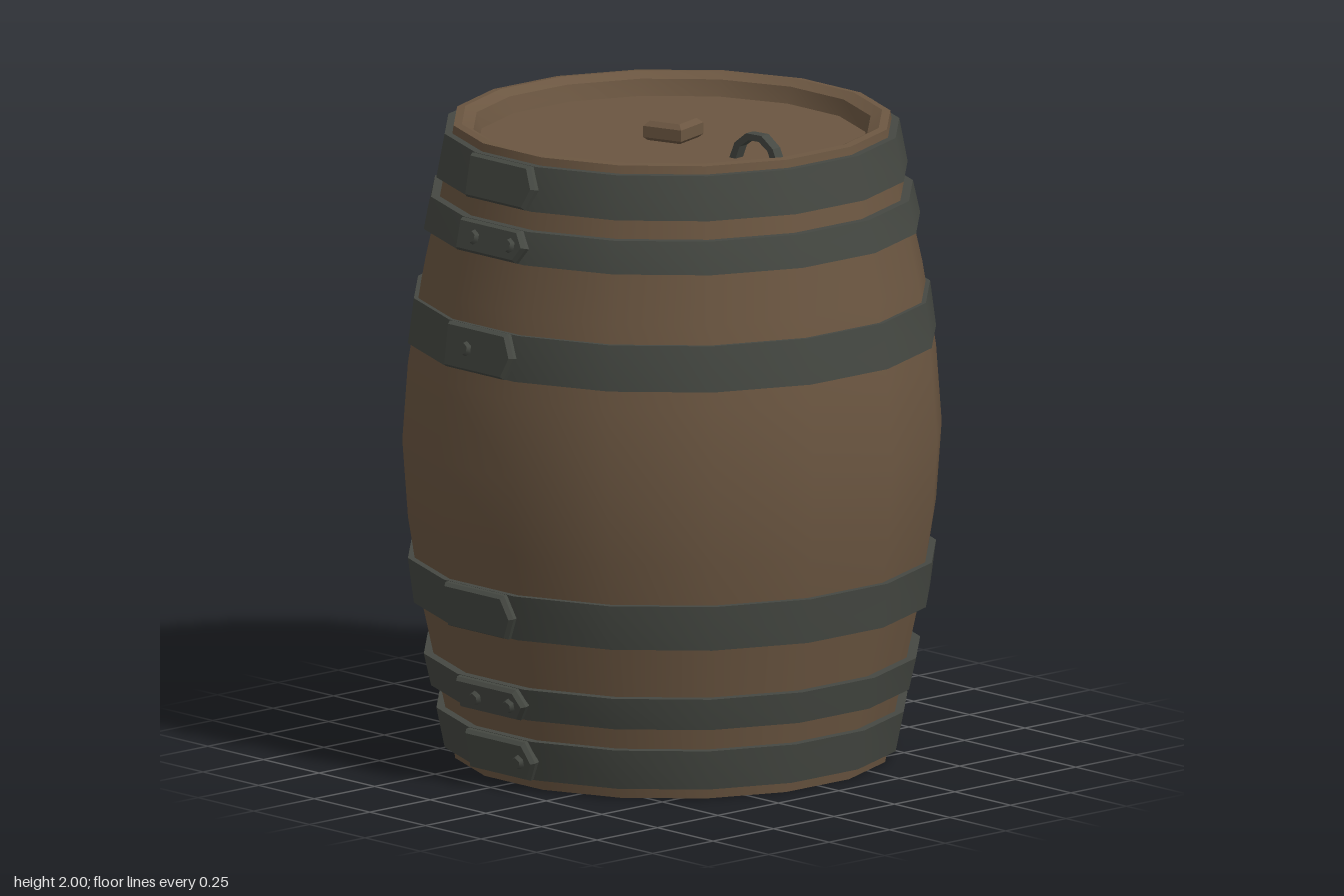
import * as THREE from 'three';
import { toCreasedNormals } from 'three/addons/utils/BufferGeometryUtils.js';

const SIDES = 16;
const STEP = Math.PI / SIDES;
const TO_CORNER = 1 / Math.cos(STEP); // flat-to-centre distance -> corner radius

const wood = new THREE.MeshStandardMaterial({ color: 0x6b5641 });
wood.name = 'brown wood';
const iron = new THREE.MeshStandardMaterial({ color: 0x454842 });
iron.name = 'dark iron';

function mesh(name, geometry, material) {
  const m = new THREE.Mesh(geometry, material);
  m.name = name;
  return m;
}

// Sixteen-sided turned solid with a flat side facing the front
function turned(points) {
  const profile = points.map(([r, y]) => new THREE.Vector2(r * TO_CORNER, y));
  return toCreasedNormals(new THREE.LatheGeometry(profile, SIDES, STEP), 0.5);
}

// Hoops: bottom y, top y, bottom radius, top radius, rivet x positions
const HOOPS = [
  [0.035, 0.16, 0.687, 0.712, [0.1]],
  [0.23, 0.33, 0.728, 0.75, [-0.05, 0.1]],
  [0.49, 0.63, 0.78, 0.798, []],
  [1.30, 1.44, 0.798, 0.78, [-0.04]],
  [1.655, 1.755, 0.75, 0.728, [-0.06, 0.1]],
  [1.815, 1.95, 0.712, 0.687, []],
];

// Overlapping pointed end of a hoop, lying on one flat side
function hoopEnd(height) {
  const h = height / 2 - 0.008;
  const shape = new THREE.Shape([
    [-0.13, -h], [0.12, -h], [0.15, 0], [0.12, h], [-0.13, h],
  ].map(([x, y]) => new THREE.Vector2(x, y)));
  return new THREE.ExtrudeGeometry(shape, {
    depth: 0.012, bevelEnabled: true, bevelThickness: 0.014,
    bevelSize: 0.008, bevelOffset: 0, bevelSegments: 1,
  });
}

function makeHoop([y0, y1, r0, r1, rivets]) {
  const group = new THREE.Group();
  group.name = 'hoop';
  group.add(mesh('hoopBand', turned([
    [r0 - 0.06, y0], [r0, y0], [r1, y1], [r1 - 0.06, y1],
  ]), iron));

  // One lapped joint at the front and one at the back
  for (const turn of [0, Math.PI]) {
    const joint = new THREE.Group();
    joint.name = 'hoopJoint';
    joint.rotation.y = turn;
    const plate = new THREE.Group();
    plate.name = 'hoopEnd';
    plate.position.set(0, (y0 + y1) / 2, (r0 + r1) / 2);
    plate.rotation.x = -Math.atan2(r0 - r1, y1 - y0);
    plate.add(mesh('hoopEndPlate', hoopEnd(y1 - y0), iron));
    for (const x of rivets) {
      const rivet = mesh('rivet', new THREE.CylinderGeometry(0.018, 0.026, 0.02, 6), iron);
      rivet.rotation.x = Math.PI / 2;
      rivet.position.set(x, 0, 0.03);
      plate.add(rivet);
    }
    joint.add(plate);
    group.add(joint);
  }
  return group;
}

export function createModel() {
  const barrel = new THREE.Group();
  barrel.name = 'barrel';

  // Bulging body with raised rims around a recessed lid and base
  barrel.add(mesh('barrelBody', turned([
    [0, 0.06], [0.57, 0.06], [0.575, 0.015], [0.61, 0], [0.655, 0],
    [0.672, 0.1], [0.757, 0.5], [0.798, 0.76], [0.815, 1.0],
    [0.798, 1.24], [0.757, 1.5], [0.672, 1.89], [0.66, 1.975],
    [0.635, 1.978], [0.6, 1.96], [0.585, 1.91], [0, 1.91],
  ]), wood));

  for (const spec of HOOPS) barrel.add(makeHoop(spec));

  // Chamfered wooden bung in the middle of the lid
  const s = 0.052;
  const block = new THREE.Shape([
    [-s, -s], [s, -s], [s, s], [-s, s],
  ].map(([x, y]) => new THREE.Vector2(x, y)));
  const bungGeometry = new THREE.ExtrudeGeometry(block, {
    depth: 0.035, bevelEnabled: true, bevelThickness: 0.015,
    bevelSize: 0.015, bevelSegments: 1,
  });
  bungGeometry.rotateX(-Math.PI / 2);
  const bung = mesh('bung', bungGeometry, wood);
  bung.position.set(0, 1.92, -0.005);
  bung.rotation.y = 0.3;
  barrel.add(bung);

  // Arched iron strap handle on the lid
  const arch = new THREE.Shape([
    [-0.1, -0.01], [-0.075, 0.05], [-0.03, 0.085], [0.03, 0.085], [0.075, 0.05], [0.1, -0.01],
    [0.075, -0.01], [0.055, 0.04], [0.02, 0.065], [-0.02, 0.065], [-0.055, 0.04], [-0.075, -0.01],
  ].map(([x, y]) => new THREE.Vector2(x, y)));
  const handleGeometry = new THREE.ExtrudeGeometry(arch, { depth: 0.036, bevelEnabled: false });
  handleGeometry.translate(0, 0, -0.018);
  const handle = mesh('lidHandle', handleGeometry, iron);
  handle.position.set(0.4, 1.91, 0.015);
  handle.rotation.y = 0.14;
  barrel.add(handle);

  return barrel;
}
